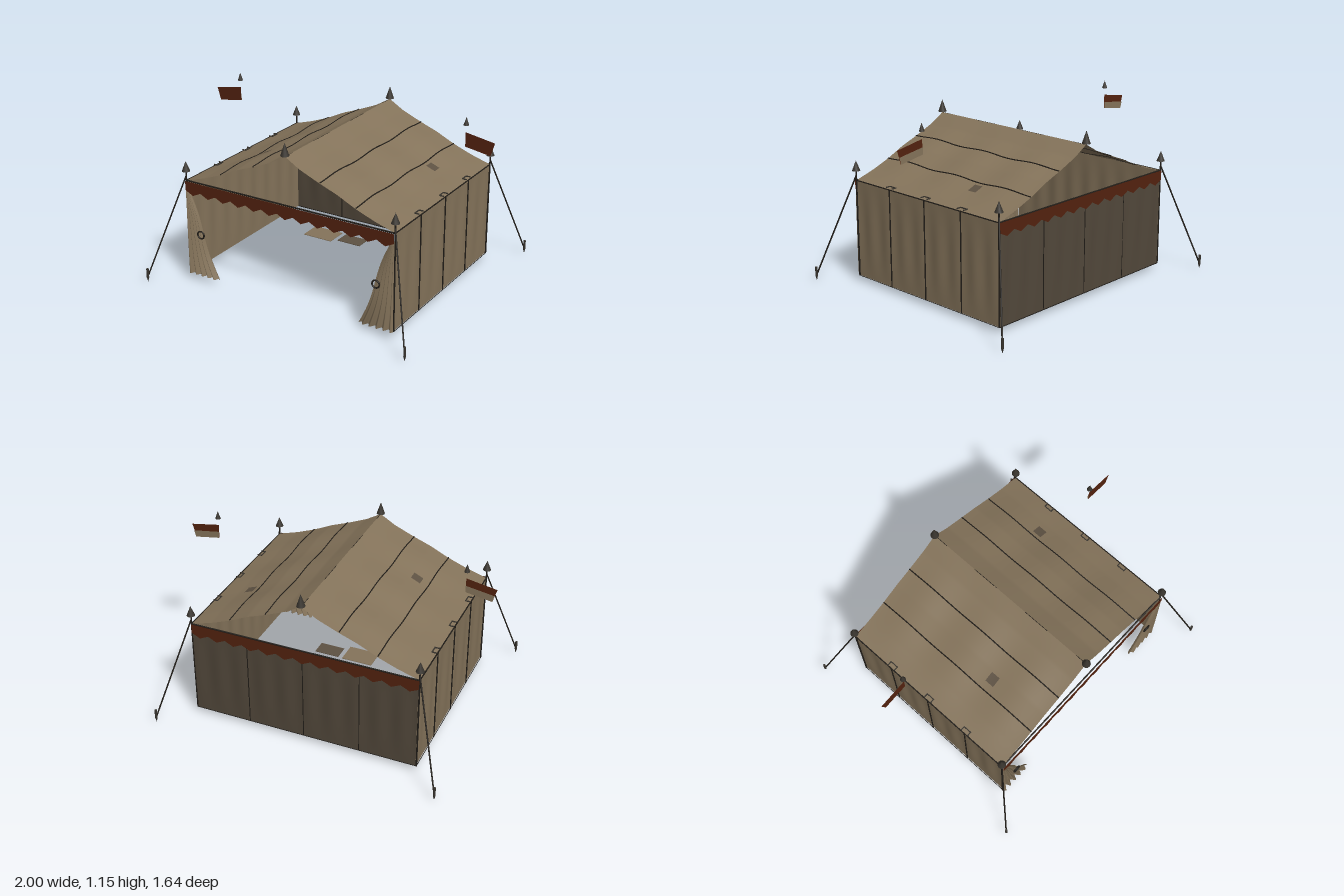
import * as THREE from 'three';
import { ParametricGeometry } from 'three/addons/geometries/ParametricGeometry.js';

const mat = (name, color, side = THREE.DoubleSide) => {
  const m = new THREE.MeshStandardMaterial({ color, side });
  m.name = name;
  return m;
};
const canvas = mat('canvas', 0x84735a);
const backCloth = mat('dark canvas', 0x51473a);
const red = mat('rust red cloth', 0x53220f);
const patchCloth = mat('patch cloth', 0x5d5142);
const cord = mat('dark cord', 0x211d18, THREE.FrontSide);
const iron = mat('iron', 0x38342e, THREE.FrontSide);

const W = 0.735, D = 0.61, BASE = 0.035, EAVE = 0.658;
const V = (x, y, z) => new THREE.Vector3(x, y, z);

export function createModel() {
  const root = new THREE.Group();
  root.name = 'tent';
  const add = (name, geo, m, x = 0, y = 0, z = 0) => {
    const o = new THREE.Mesh(geo, m);
    o.name = name;
    o.position.set(x, y, z);
    root.add(o);
    return o;
  };
  // Cloth sheet from a rule (u, v) -> point
  const sheet = (name, f, nu, nv, m) =>
    add(name, new ParametricGeometry((u, v, t) => t.copy(f(u, v)), nu, nv), m);
  // Cord through points
  const line = (name, pts, r = 0.004, m = cord) => add(name, new THREE.TubeGeometry(
    pts.length > 2 ? new THREE.CatmullRomCurve3(pts) : new THREE.LineCurve3(...pts),
    pts.length > 2 ? 48 : 1, r, 6), m);

  // Sagging roof height with gentle billows along z
  const profile = [[0, 0.965], [0.1, 0.908], [0.235, 0.854], [0.35, 0.812], [0.475, 0.752], [0.6, 0.702], [W, EAVE]];
  const roofY = (x, z) => {
    const a = Math.min(Math.abs(x), W);
    let i = 0;
    while (i < profile.length - 2 && a > profile[i + 1][0]) i++;
    const [x0, y0] = profile[i], [x1, y1] = profile[i + 1];
    const wave = 0.006 * Math.sin(Math.PI * a / W) * Math.cos(z * Math.PI * 2 / 0.41);
    return y0 + (y1 - y0) * (a - x0) / (x1 - x0) + wave;
  };
  // Slight billow of the walls between their seams
  const billow = (s) => 0.004 * Math.sin(s * Math.PI * 2 / 0.15);

  for (const s of [1, -1]) {
    const side = s > 0 ? 'left' : 'right';

    // Roof slope with lengthwise seams
    sheet(side + 'Roof', (u, v) => {
      const x = s * u * W, z = (v * 2 - 1) * D;
      return V(x, roofY(x, z), z);
    }, 30, 48, canvas);
    for (const x of [0.235, 0.475]) {
      const pts = [];
      for (let i = 0; i <= 24; i++) {
        const z = (i / 12 - 1) * D;
        pts.push(V(s * x, roofY(x, z) + 0.001, z));
      }
      line(side + 'RoofSeam', pts);
    }

    // Side wall with seams, edges and eave clips
    sheet(side + 'Wall', (u, v) => {
      const z = (u * 2 - 1) * D;
      return V(s * (W - 0.005 + billow(z) * Math.sin(Math.PI * v)), BASE + v * (EAVE - BASE), z);
    }, 64, 8, canvas);
    for (const z of [-0.305, 0, 0.305]) {
      line(side + 'WallSeam', [V(s * W, BASE, z), V(s * W, EAVE, z)]);
      for (const d of [-0.026, 0.026])
        add('eaveClip', new THREE.BoxGeometry(0.03, 0.006, 0.006), iron, s * 0.72, 0.669, z + d);
      add('eaveClip', new THREE.BoxGeometry(0.006, 0.006, 0.058), iron, s * 0.706, 0.669, z);
    }
    line(side + 'EaveCord', [V(s * W, EAVE, -D), V(s * W, EAVE, D)]);
    line(side + 'HemCord', [V(s * W, BASE, -D), V(s * W, BASE, D)], 0.002);

    // Tied-back front curtain with pleats that open toward the hem
    sheet(side + 'Curtain', (u, v) => {
      const y = 0.61 - v * (0.61 - BASE);
      const inner = 0.718 - 0.213 * v - 0.012 * Math.sin(v * Math.PI * 2);
      const depth = 0.002 + 0.013 * Math.sqrt(v);
      return V(s * (W - u * (W - inner)), y, D + 0.008 + depth * Math.sin(u * Math.PI * 10));
    }, 60, 16, canvas);
    add(side + 'CurtainRing', new THREE.TorusGeometry(0.024, 0.005, 8, 24), cord, s * 0.625, 0.322, 0.632);

    // Corner poles, finials, guy ropes and pegs
    for (const e of [1, -1]) {
      line('cornerPole', [V(s * W, BASE, e * D), V(s * W, 0.72, e * D)], 0.005);
      add('cornerFinial', new THREE.ConeGeometry(0.026, 0.065, 12), iron, s * W, 0.752, e * D);
      line('guyRope', [V(s * W, 0.69, e * D), V(s * 0.92, 0.035, e * 0.812)], 0.005);
      add('peg', new THREE.CylinderGeometry(0.008, 0.008, 0.06, 8), iron, s * 0.92, 0.06, e * 0.812);
      add('pegPoint', new THREE.ConeGeometry(0.008, 0.03, 8).rotateX(Math.PI), iron, s * 0.92, 0.015, e * 0.812);
    }

    // Pennant with a pale lower lining on the back, and its finial
    const quad = (pts) => new THREE.ShapeGeometry(new THREE.Shape(pts.map(([x, y]) => new THREE.Vector2(s * x, y))));
    add(side + 'Pennant', quad([[0.81, 0.965], [0.975, 0.938], [1, 1.022], [0.81, 1.055]]), red, 0, 0, -0.08);
    add(side + 'PennantLining', quad([[0.81, 0.965], [0.975, 0.938], [0.988, 0.98], [0.81, 1.008]]), canvas, 0, 0, -0.085);
    add(side + 'PennantFinial', new THREE.ConeGeometry(0.017, 0.05, 12), iron, s * 0.812, 1.125, -0.08);
  }

  // Ridge cord
  line('ridgeCord', [V(0, 0.963, -D), V(0, 0.963, D)], 0.002);

  // Back wall, darker cloth
  sheet('backWall', (u, v) => {
    const x = (u * 2 - 1) * W;
    return V(x, BASE + v * (EAVE - BASE), -D + billow(x) * Math.sin(Math.PI * v));
  }, 64, 8, backCloth);
  for (const x of [-0.365, 0, 0.365])
    line('backWallSeam', [V(x, BASE, -D), V(x, EAVE, -D)], 0.003);
  line('backHem', [V(-W, BASE, -D), V(W, BASE, -D)], 0.003);

  // Zigzag valances front and back, with ridge finials
  const teeth = 13;
  const zig = new THREE.Shape();
  zig.moveTo(-W, EAVE);
  for (let i = 0; i <= teeth * 2; i++) zig.lineTo(-W + W * i / teeth, i % 2 ? 0.57 : 0.598);
  zig.lineTo(W, EAVE);
  for (const e of [1, -1]) {
    const end = e > 0 ? 'front' : 'back';
    add(end + 'Valance', new THREE.ShapeGeometry(zig), red, 0, 0, e * (D + (e > 0 ? 0.014 : 0.008)));
    line(end + 'ValanceCord', [V(-W, EAVE, e * D), V(W, EAVE, e * D)], 0.005);
    add(end + 'RidgeFinial', new THREE.ConeGeometry(0.027, 0.08, 12), iron, 0, 1.01, e * D);
  }

  // Patches sewn on the roof
  for (const [px, pz] of [[0.53, -0.22], [-0.4, 0.23]])
    sheet('roofPatch', (u, v) => {
      const x = px + (u - 0.5) * 0.06, z = pz + (v - 0.5) * 0.062;
      return V(x, roofY(x, z) + 0.005, z);
    }, 4, 4, patchCloth);

  // Loose flat cloths inside
  add('paleCloth', new THREE.BoxGeometry(0.2, 0.004, 0.14), canvas, -0.1, 0.23, 0.05);
  add('darkCloth', new THREE.BoxGeometry(0.16, 0.004, 0.1), patchCloth, 0.11, 0.23, 0.035);

  return root;
}
